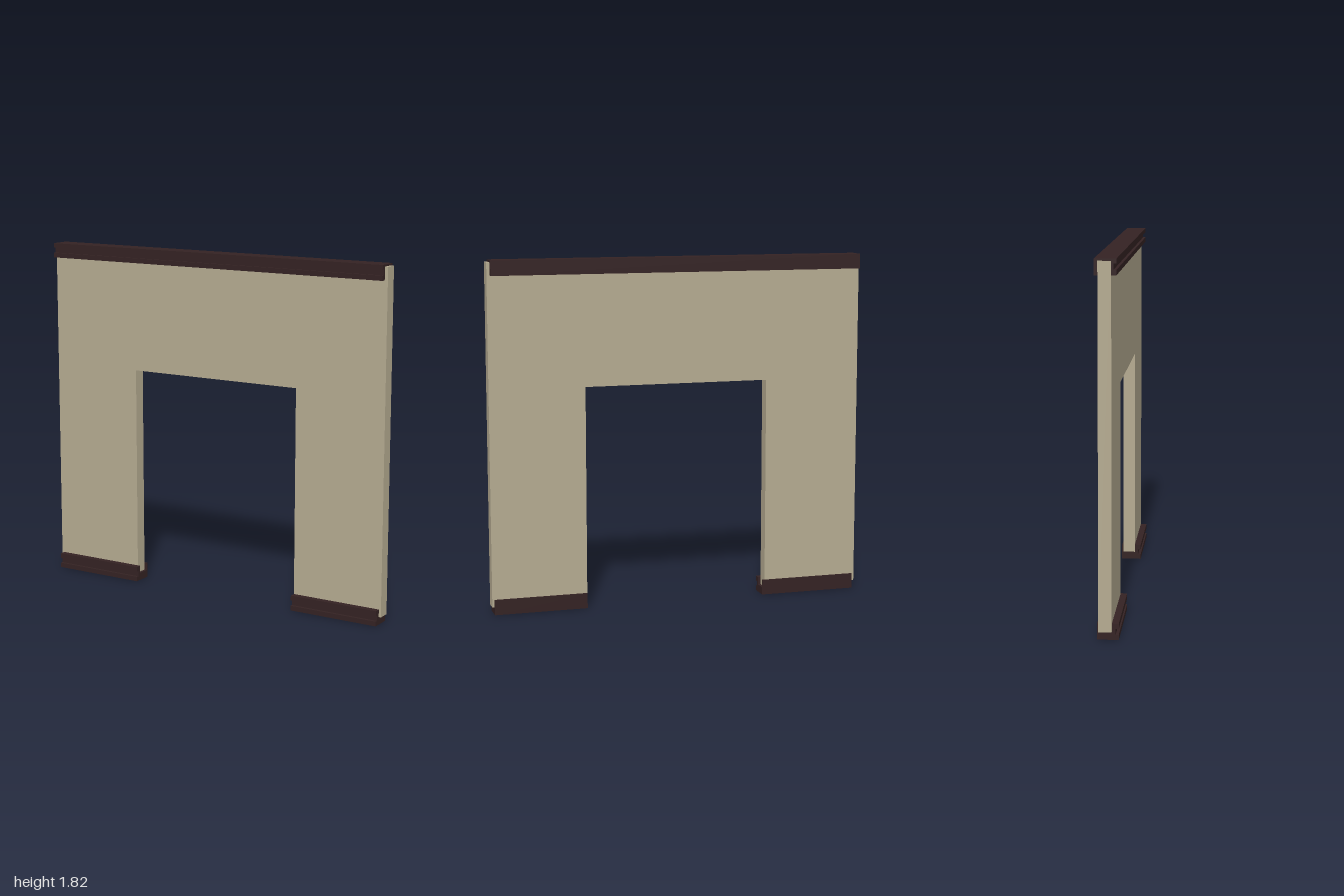
import * as THREE from 'three';

const wallPaint = new THREE.MeshStandardMaterial({ color: 0xb5ab91 });
wallPaint.name = 'beige wall';
const darkTrim = new THREE.MeshStandardMaterial({ color: 0x342223 });
darkTrim.name = 'dark brown trim';

const polygon = (points) => new THREE.Shape(points.map(([a, b]) => new THREE.Vector2(a, b)));

// Runs a [z, y] profile along x from x0 to x1
function rail(name, profile, x0, x1) {
  const geometry = new THREE.ExtrudeGeometry(
    polygon(profile.map(([z, y]) => [-z, y])),
    { depth: x1 - x0, bevelEnabled: false }
  );
  geometry.rotateY(Math.PI / 2).translate(x0, 0, 0);
  const mesh = new THREE.Mesh(geometry, darkTrim);
  mesh.name = name;
  return mesh;
}

export function createModel() {
  const model = new THREE.Group();
  model.name = 'wallWithDoorway';

  // Wall panel with a doorway open to the floor
  const wallShape = polygon([
    [-1, 0.04], [-0.485, 0.04], [-0.485, 1.165], [0.495, 1.165],
    [0.495, 0.04], [0.997, 0.04], [0.997, 1.81], [-1, 1.81],
  ]);
  const wallGeometry = new THREE.ExtrudeGeometry(wallShape, { depth: 0.064, bevelEnabled: false });
  wallGeometry.translate(0, 0, -0.04);
  const wall = new THREE.Mesh(wallGeometry, wallPaint);
  wall.name = 'wall';
  model.add(wall);

  // Channel cap over the wall, with a grooved front face
  model.add(rail('topRail', [
    [0.048, 1.82], [0.048, 1.797], [0.034, 1.797], [0.034, 1.768],
    [0.048, 1.768], [0.048, 1.743], [0.024, 1.743], [0.024, 1.81],
    [-0.04, 1.81], [-0.04, 1.743], [-0.057, 1.743], [-0.057, 1.82],
  ], -1, 0.98));

  // Channel feet holding the wall on each side of the doorway
  const footProfile = [
    [0.057, 0], [0.057, 0.025], [0.042, 0.025], [0.042, 0.054],
    [0.057, 0.054], [0.057, 0.08], [0.024, 0.08], [0.024, 0.04],
    [-0.04, 0.04], [-0.04, 0.08], [-0.047, 0.08], [-0.047, 0],
  ];
  model.add(rail('rightBaseRail', footProfile, -0.987, -0.47));
  model.add(rail('leftBaseRail', footProfile, 0.495, 0.985));

  return model;
}
